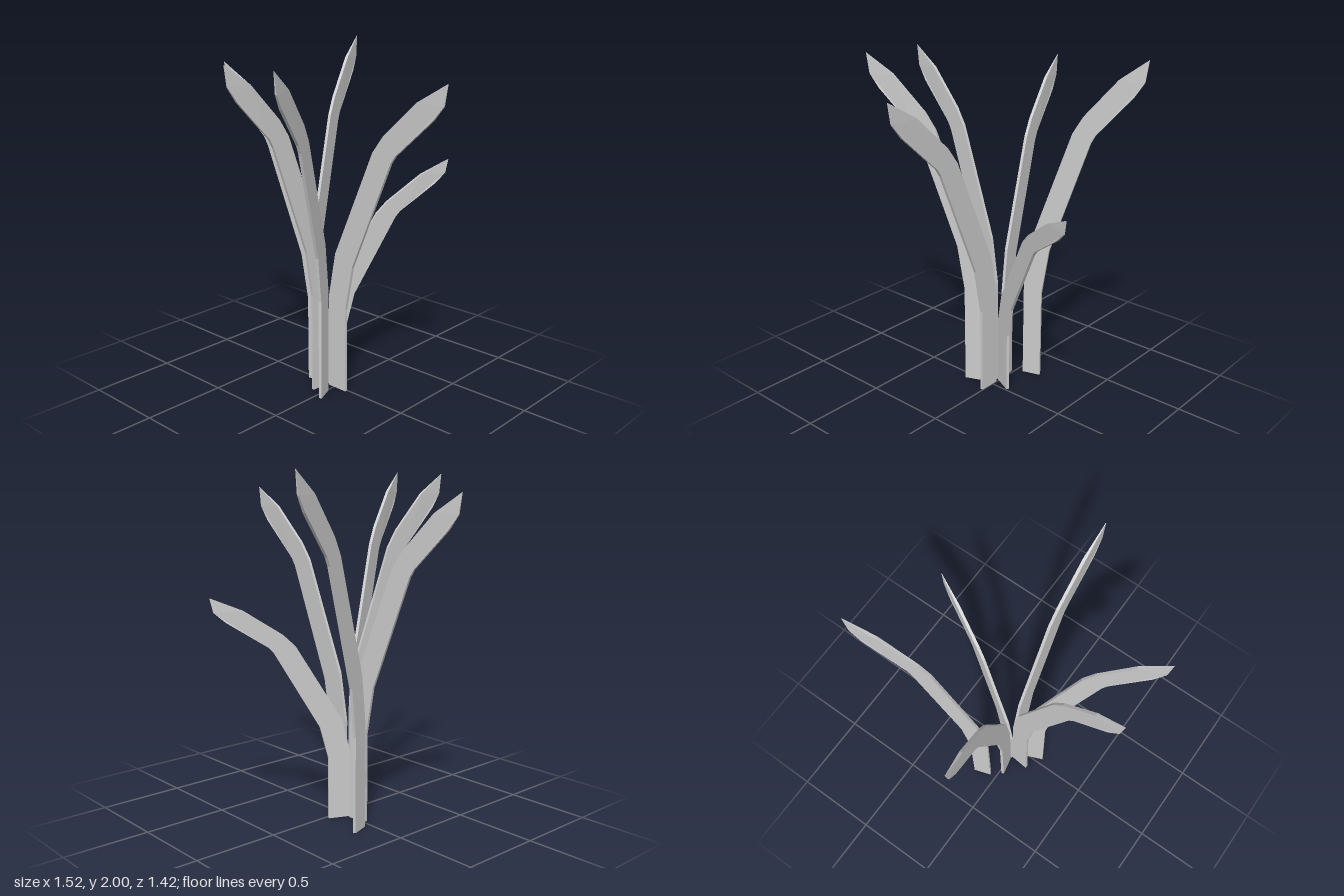
import * as THREE from 'three';

// Leaf outline as [reach, height]: outer edge upwards, then inner edge back down
const OUTLINE = [
  [0.13, 0], [0.13, 0.52], [0.18, 0.79], [0.445, 1.43], [0.475, 1.475], [0.71, 1.69], [0.775, 1.77],
  [0.795, 1.885],
  [0.61, 1.775], [0.39, 1.57], [0.32, 1.475], [0.05, 0.845], [0, 0.57], [0, 0],
];
const REACH = 0.795;
const THICKNESS = 0.017;

// Each leaf: foot and tip in plan [x, z], height scale, lift of everything above the foot
const LEAVES = [
  { foot: [-0.04, 0.01], tip: [0.755, 0.01], scale: 1, lift: 0 },
  { foot: [-0.07, 0.01], tip: [0.26, -0.705], scale: 0.7, lift: 0 },
  { foot: [-0.245, -0.04], tip: [-0.455, -0.685], scale: 1.061, lift: 0 },
  { foot: [-0.09, 0], tip: [-0.76, 0.142], scale: 1, lift: 0 },
  { foot: [-0.06, 0.018], tip: [-0.121, 0.69], scale: 1, lift: 0.08 },
  { foot: [0, 0.077], tip: [0.26, 0.71], scale: 1, lift: 0.085 },
];

// Flat blade, thinned towards its tip
function leafGeometry(length, scale, lift) {
  const points = OUTLINE.map(([r, y]) =>
    new THREE.Vector2(r * length / REACH, y > 0 ? y * scale + lift : 0));
  const geometry = new THREE.ExtrudeGeometry(new THREE.Shape(points), { depth: THICKNESS, bevelEnabled: false });
  geometry.translate(0, 0, -THICKNESS / 2);
  const p = geometry.attributes.position;
  for (let i = 0; i < p.count; i++) {
    const r = p.getX(i) / length;
    const taper = r > 0.99 ? 0.15 : r > 0.95 ? 0.5 : 1;
    p.setZ(i, p.getZ(i) * taper);
  }
  geometry.computeVertexNormals();
  return geometry;
}

export function createModel() {
  const group = new THREE.Group();
  group.name = 'leafCluster';
  const material = new THREE.MeshStandardMaterial({ color: 0xcccccc, flatShading: true });

  // Leaves fanning outwards from the middle
  LEAVES.forEach(({ foot, tip, scale, lift }, i) => {
    const dx = tip[0] - foot[0];
    const dz = tip[1] - foot[1];
    const leaf = new THREE.Mesh(leafGeometry(Math.hypot(dx, dz), scale, lift), material);
    leaf.name = `leaf${i + 1}`;
    leaf.position.set(foot[0], 0, foot[1]);
    leaf.rotation.y = Math.atan2(-dz, dx);
    group.add(leaf);
  });
  return group;
}
